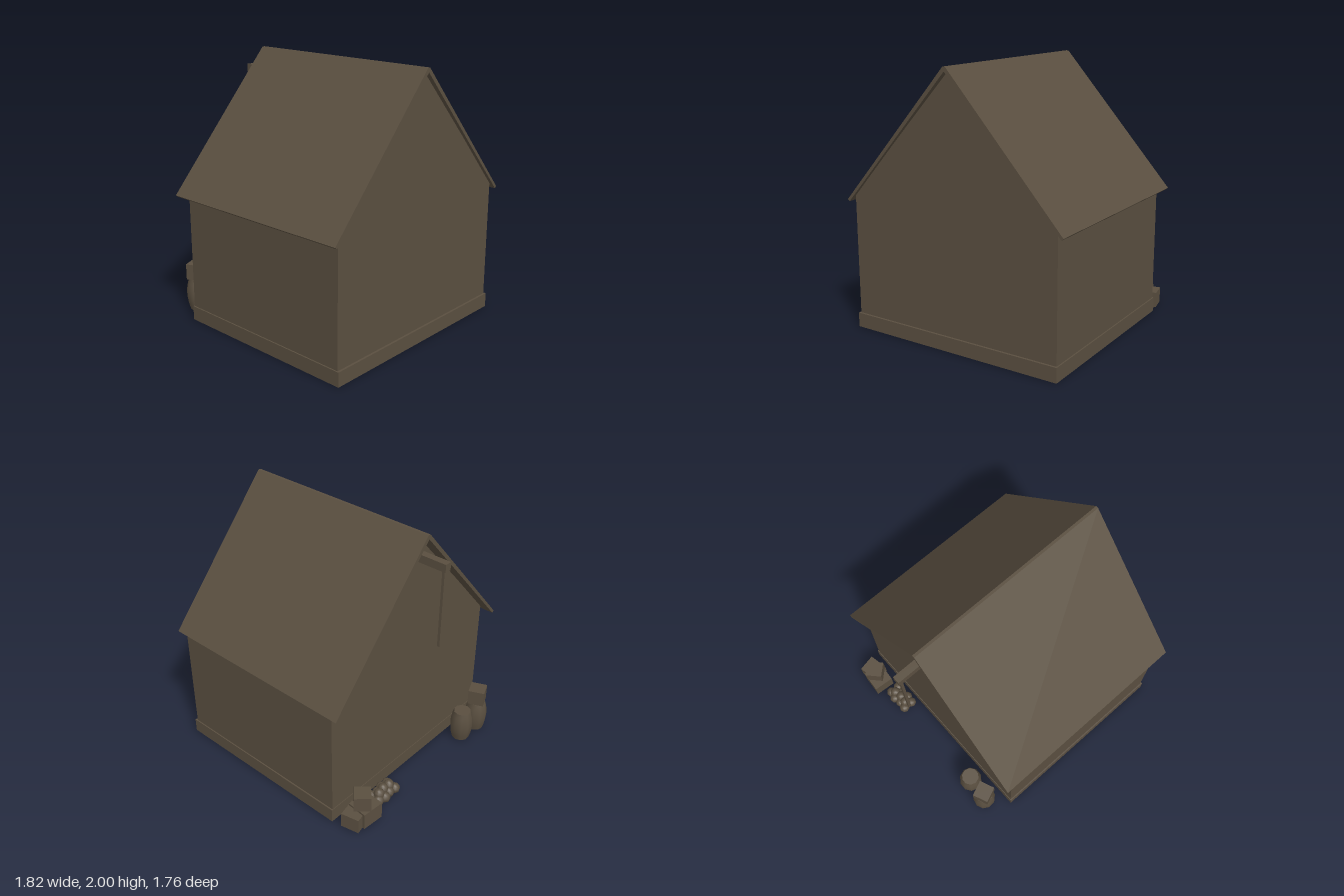
import * as THREE from 'three';
import { toCreasedNormals } from 'three/addons/utils/BufferGeometryUtils.js';

export function createModel() {
  const model = new THREE.Group();
  model.name = 'storehouse';
  const wood = new THREE.MeshStandardMaterial({ color: 0x5a4f40 });
  wood.name = 'dark weathered wood';

  const add = (name, geometry, x = 0, y = 0, z = 0, turn = 0) => {
    const mesh = new THREE.Mesh(geometry, wood);
    mesh.name = name;
    mesh.position.set(x, y, z);
    mesh.rotation.y = turn;
    model.add(mesh);
    return mesh;
  };
  const box = (name, w, h, d, x, y, z, turn) =>
    add(name, new THREE.BoxGeometry(w, h, d), x, y + h / 2, z, turn);
  // Extrude an x-y outline from z0 to z1
  const slab = (name, points, z0, z1) => {
    const shape = new THREE.Shape(points.map(([x, y]) => new THREE.Vector2(x, y)));
    return add(name, new THREE.ExtrudeGeometry(shape, { depth: z1 - z0, bevelEnabled: false }), 0, 0, z0);
  };

  // Plinth and gabled walls
  box('foundation', 1.73, 0.11, 1.505, 0, 0, 0.117);
  slab('gabledWalls', [[-0.855, 0.05], [0.855, 0.05], [0.855, 1.03], [0, 1.955], [-0.855, 1.03]], -0.63, 0.853);

  // Two thin roof slopes joined at the ridge
  const half = [[0.01, 2], [0.91, 0.99], [0.894, 0.976], [0, 1.968]];
  slab('roof', [
    ...half,
    ...half.slice(0, 3).reverse().map(([x, y]) => [-x, y]),
  ], -0.72, 0.88);

  // Hoist beam and hanging rope on the back gable
  box('hoistBeam', 0.055, 0.06, 0.27, 0, 1.79, -0.748);
  box('hoistRope', 0.022, 0.6, 0.02, 0, 1.19, -0.855);

  // Barrels: cylinders bulged around the middle
  const barrelGeometry = new THREE.CylinderGeometry(0.09, 0.09, 0.255, 10, 6);
  const p = barrelGeometry.attributes.position;
  for (let i = 0; i < p.count; i++) {
    const t = p.getY(i) / 0.1275;
    const s = 1 - 0.25 * t * t;
    p.setX(i, p.getX(i) * s);
    p.setZ(i, p.getZ(i) * s);
  }
  const barrel = toCreasedNormals(barrelGeometry, 0.8);
  add('barrel', barrel, -0.70, 0.1275, -0.78, 0.1);
  add('barrel', barrel, -0.52, 0.1275, -0.768, 0.3);
  box('crateOnBarrel', 0.125, 0.125, 0.125, -0.70, 0.255, -0.78, 0.4);

  // Stacked crates
  box('largeCrate', 0.175, 0.135, 0.16, 0.672, 0, -0.782, -0.08);
  box('sideCrate', 0.15, 0.12, 0.14, 0.765, 0, -0.765, 0.2);
  box('topCrate', 0.125, 0.12, 0.125, 0.70, 0.135, -0.775, 0.75);

  // Low heap of lumpy sacks
  const lump = toCreasedNormals(new THREE.SphereGeometry(0.042, 8, 6), 1);
  const heap = (count, x0, step, y, z) => {
    for (let i = 0; i < count; i++) {
      add('sack', lump, x0 + i * step, y, z + 0.008 * Math.sin(i * 2.3), i * 0.7);
    }
  };
  heap(4, 0.335, 0.06, 0.04, -0.778);
  heap(4, 0.335, 0.06, 0.04, -0.705);
  heap(3, 0.365, 0.06, 0.075, -0.745);
  return model;
}
